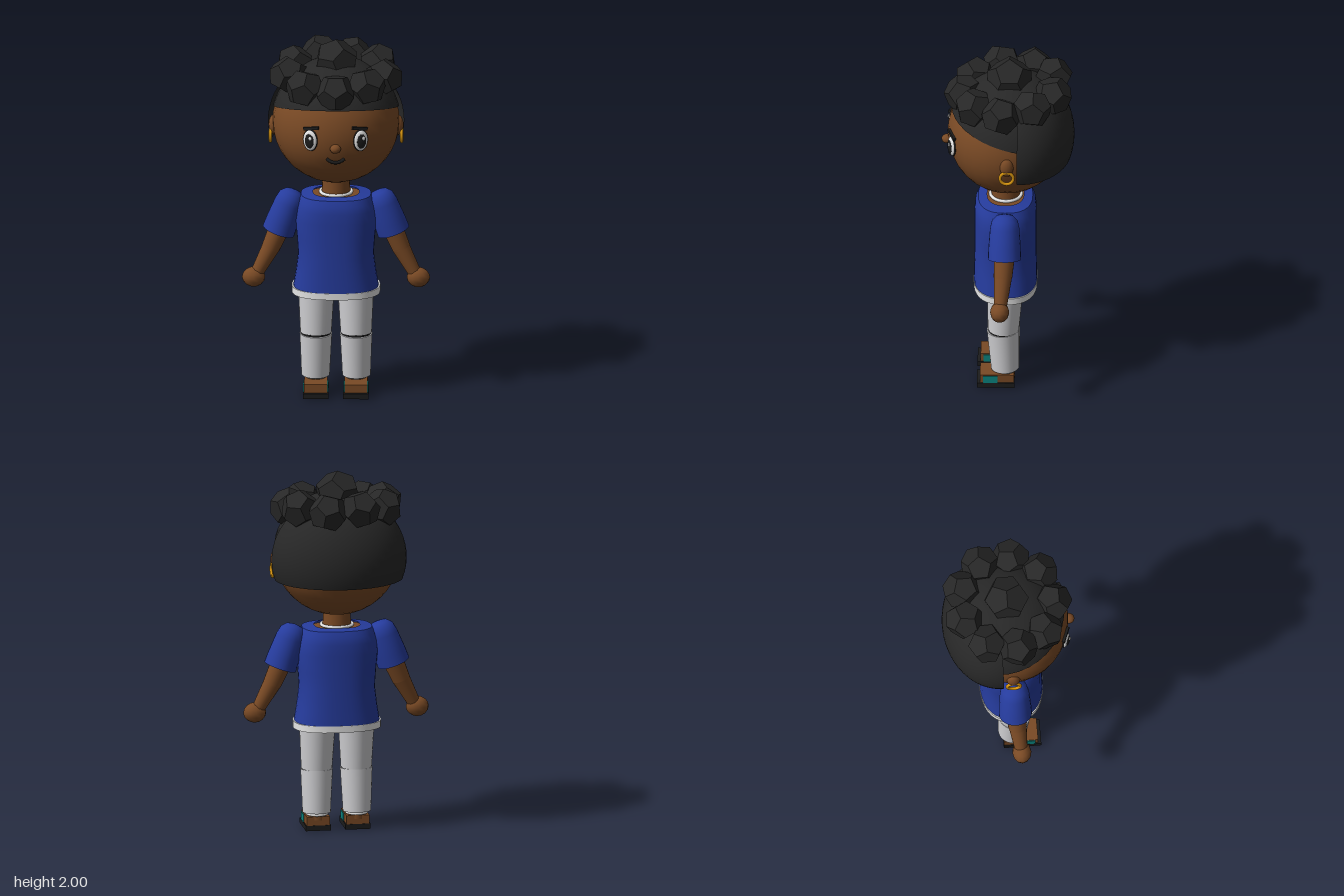
import * as THREE from 'three';
import { mergeVertices, toCreasedNormals } from 'three/addons/utils/BufferGeometryUtils.js';

const mat = (name, color, side = THREE.FrontSide) =>
  Object.assign(new THREE.MeshStandardMaterial({ color, side }), { name });

export function createModel() {
  const model = new THREE.Group();
  const skin = mat('skin', 0x7a4a25);
  const hair = mat('hair', 0x272727, THREE.DoubleSide);
  const blue = mat('shirt blue', 0x263c9e, THREE.DoubleSide);
  const grey = mat('trouser grey', 0xcfcfd2);
  const white = mat('white', 0xe6e6e6);
  const black = mat('black', 0x1c1c1c);
  const gold = mat('gold', 0xd8950f);
  const teal = mat('teal', 0x0a8580);

  const add = (name, geo, material, x = 0, y = 0, z = 0, parent = model) => {
    const m = new THREE.Mesh(geo, material);
    m.name = name;
    m.position.set(x, y, z);
    parent.add(m);
    return m;
  };
  const ball = (name, material, p, s, w = 24, h = 16) => {
    const m = add(name, new THREE.SphereGeometry(1, w, h), material, ...p);
    m.scale.set(...s);
    return m;
  };
  const box = (name, material, x0, x1, y0, y1, z0, z1) =>
    add(name, new THREE.BoxGeometry(x1 - x0, y1 - y0, z1 - z0), material,
      (x0 + x1) / 2, (y0 + y1) / 2, (z0 + z1) / 2);
  // Tapered cylinder from a down to b
  const limb = (name, material, a, b, ra, rb, seg = 20) => {
    const A = new THREE.Vector3(...a), B = new THREE.Vector3(...b);
    const d = A.clone().sub(B);
    const m = add(name, new THREE.CylinderGeometry(ra, rb, d.length(), seg), material,
      ...A.clone().add(B).multiplyScalar(0.5).toArray());
    m.quaternion.setFromUnitVectors(new THREE.Vector3(0, 1, 0), d.normalize());
    return m;
  };
  // Rounded-oval cross-sections [y, halfWidth, halfDepth], listed upwards
  const loft = (rows, seg = 36) => {
    const g = new THREE.LatheGeometry(rows.map(([y]) => new THREE.Vector2(1, y)), seg);
    const p = g.attributes.position, n = rows.length;
    const round = (v) => Math.sign(v) * Math.pow(Math.abs(v), 0.8);
    for (let i = 0; i < p.count; i++) {
      const a = (Math.floor(i / n) % seg) * Math.PI * 2 / seg;
      const [y, rx, rz] = rows[i % n];
      p.setXYZ(i, round(Math.sin(a)) * rx, y, round(Math.cos(a)) * rz);
    }
    g.deleteAttribute('normal');
    g.deleteAttribute('uv');
    const merged = mergeVertices(g);
    merged.computeVertexNormals();
    return toCreasedNormals(merged, 0.7);
  };

  // Torso, shirt and hem
  add('torso', loft([[0.6, 0, 0], [0.6, 0.215, 0.155], [0.8, 0.19, 0.15], [1.05, 0.19, 0.15],
    [1.13, 0.14, 0.11], [1.137, 0, 0]]), skin, 0, 0, 0.012);
  add('shirt', loft([[0.595, 0.234, 0.172], [0.7, 0.217, 0.17], [0.8, 0.205, 0.168], [0.9, 0.212, 0.168],
    [1.0, 0.222, 0.168], [1.06, 0.215, 0.168], [1.1, 0.204, 0.163], [1.133, 0.19, 0.148],
    [1.141, 0.125, 0.1]]), blue, 0, 0, 0.012);
  add('shirtHem', loft([[0.612, 0.22, 0.155], [0.575, 0.22, 0.155], [0.575, 0.24, 0.173],
    [0.612, 0.24, 0.173], [0.612, 0.22, 0.155]]), white, 0, 0, 0.012);
  add('neck', new THREE.CylinderGeometry(0.074, 0.08, 0.16, 20), skin, 0, 1.165, 0.01);
  add('necklace', new THREE.TorusGeometry(0.085, 0.009, 8, 28), white, 0, 1.143, 0.01).rotation.x = Math.PI / 2;

  // Head and face
  ball('head', skin, [0, 1.545, 0], [0.345, 0.34, 0.326], 32, 20);
  ball('nose', skin, [0, 1.49, 0.33], [0.03, 0.025, 0.03], 12, 10);
  const smile = new THREE.QuadraticBezierCurve3(new THREE.Vector3(-0.048, 1.424, 0.302),
    new THREE.Vector3(0, 1.388, 0.325), new THREE.Vector3(0.048, 1.424, 0.302));
  add('mouth', new THREE.TubeGeometry(smile, 12, 0.009, 8), black);

  for (const s of [-1, 1]) {
    // Eyes, each layer a flattened disc facing outwards
    const eye = new THREE.Group();
    eye.name = 'eye';
    eye.position.set(s * 0.136, 1.53, 0.298);
    eye.rotation.y = s * 0.4;
    model.add(eye);
    const disc = (name, material, x, y, z, rx, ry, rz) =>
      add(name, new THREE.SphereGeometry(1, 20, 12), material, x, y, z, eye).scale.set(rx, ry, rz);
    disc('eyeRim', black, 0, 0, 0, 0.043, 0.062, 0.014);
    disc('eyeWhite', white, 0, 0, 0.005, 0.039, 0.057, 0.015);
    disc('pupil', black, 0, -0.002, 0.014, 0.027, 0.041, 0.011);
    disc('glint', white, 0.008, 0.016, 0.024, 0.009, 0.011, 0.005);
    const brow = add('eyebrow', new THREE.BoxGeometry(0.088, 0.016, 0.014), black, s * 0.132, 1.598, 0.302);
    brow.rotation.set(-0.1, s * 0.4, -s * 0.13);

    // Ears and hoops
    ball('ear', skin, [s * 0.338, 1.52, 0], [0.028, 0.055, 0.037], 16, 12);
    add('earring', new THREE.TorusGeometry(0.036, 0.009, 8, 24), gold, s * 0.356, 1.462, 0).rotation.y = Math.PI / 2;
  }

  // Hair: tilted cap, back shell and curls
  const cap = add('hairCap', new THREE.SphereGeometry(0.352, 36, 14, 0, Math.PI * 2, 0, 1.33), hair, 0, 1.537, -0.01);
  cap.rotation.x = -0.23;
  const shell = add('hairBack', new THREE.SphereGeometry(0.37, 24, 18, Math.PI, Math.PI, 0, 1.9), hair, 0, 1.53, -0.055);
  shell.scale.set(1, 0.95, 0.83);
  const curl = (r, x, y, z, rx, ry, rz) =>
    add('curl', new THREE.DodecahedronGeometry(r), hair, x, y, z).rotation.set(rx, ry, rz);
  curl(0.128, 0, 1.875, -0.01, 0, 0, 0.365);
  for (let i = 0; i < 9; i++) {
    const a = i * Math.PI * 2 / 9;
    const y = 1.805 - 0.025 * Math.cos(a) + (i % 2 ? 0.012 : 0);
    curl(0.108, Math.sin(a) * 0.262, y, Math.cos(a) * 0.25 - 0.01, 0.35 * Math.cos(a), a, -0.3 * Math.sin(a));
  }

  for (const s of [-1, 1]) {
    // Sleeve with rounded shoulder
    const sleeveProfile = [[0, 0], [0.09, 0], [0.088, 0.06], [0.08, 0.17], [0.07, 0.215], [0.045, 0.24], [0, 0.25]]
      .map(([x, y]) => new THREE.Vector2(x, y));
    const sleeve = add('sleeve', toCreasedNormals(new THREE.LatheGeometry(sleeveProfile, 24), 0.8), blue,
      s * 0.312, 0.916, 0.012);
    sleeve.rotation.z = s * 0.34;

    // Arm and hand
    limb('upperArm', skin, [s * 0.3, 0.95, 0.012], [s * 0.355, 0.82, 0.02], 0.058, 0.05);
    limb('forearm', skin, [s * 0.35, 0.83, 0.02], [s * 0.435, 0.67, 0.034], 0.05, 0.034);
    ball('hand', skin, [s * 0.447, 0.66, 0.036], [0.063, 0.055, 0.052], 12, 8);

    // Trouser leg in two sections meeting at the knee
    limb('thigh', grey, [s * 0.107, 0.6, 0.012], [s * 0.109, 0.344, 0.022], 0.099, 0.085, 28);
    limb('shin', grey, [s * 0.109, 0.338, 0.024], [s * 0.111, 0.098, 0.012], 0.088, 0.077, 28);
    limb('kneeSeam', black, [s * 0.109, 0.346, 0.022], [s * 0.109, 0.336, 0.022], 0.083, 0.083, 28);

    // Ankle, foot and sandal
    const c = s * 0.109;
    limb('ankle', skin, [c, 0.11, 0.01], [c, 0.06, 0.01], 0.052, 0.052);
    add('anklet', new THREE.TorusGeometry(0.055, 0.008, 8, 24), white, c, 0.091, 0.01).rotation.x = Math.PI / 2;
    box('foot', skin, c - 0.063, c + 0.063, 0.03, 0.08, -0.037, 0.148);
    box('sole', black, c - 0.069, c + 0.069, 0.003, 0.032, -0.039, 0.165);
    box('soleInset', skin, c - 0.05, c + 0.05, 0, 0.006, -0.022, 0.145);
    for (const t of [-1, 1])
      box('strap', teal, c + t * 0.064 - 0.004, c + t * 0.064 + 0.004, 0.032, 0.074, 0.054, 0.132);
  }
  return model;
}
